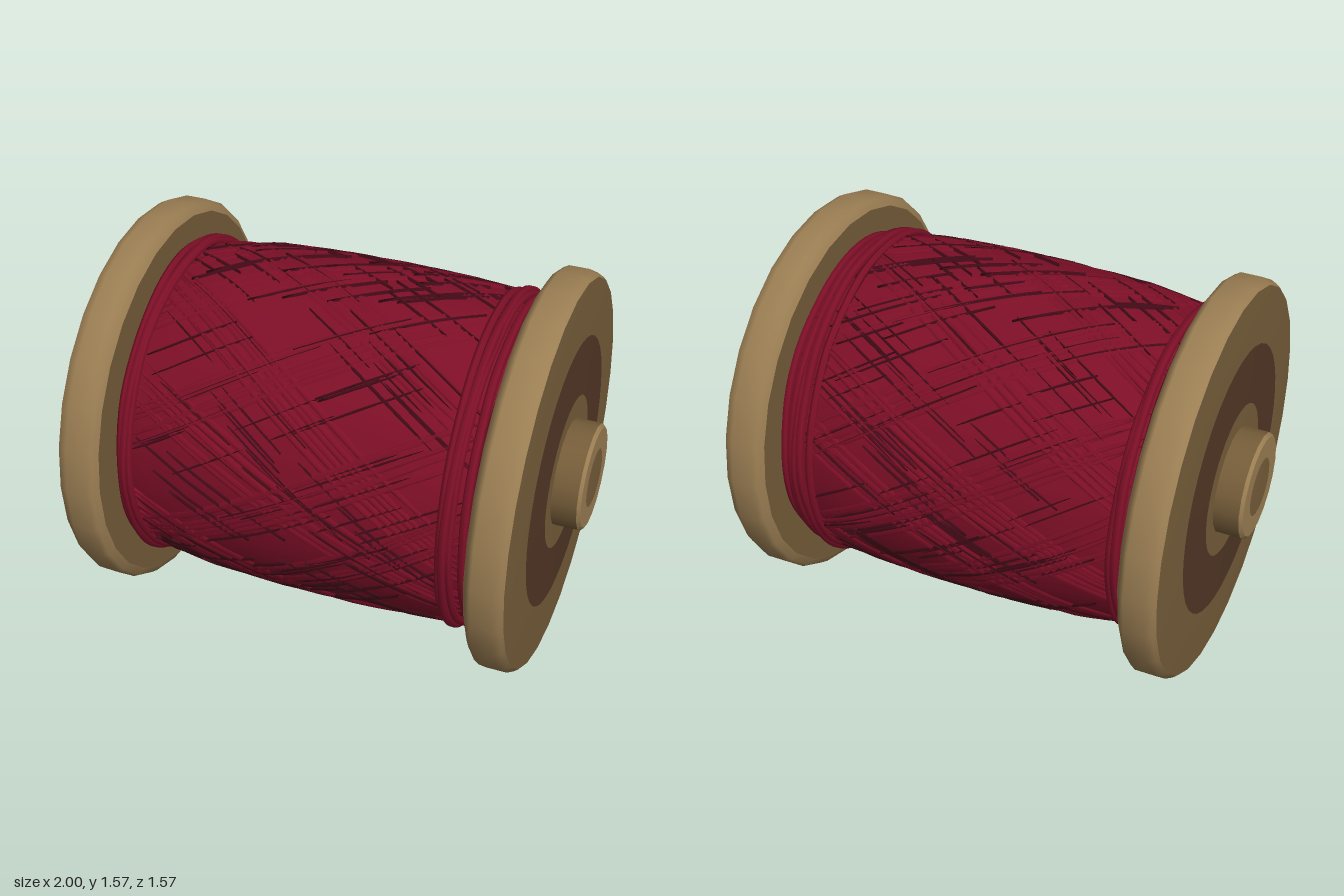
import * as THREE from 'three';
import { mergeGeometries } from 'three/addons/utils/BufferGeometryUtils.js';

const mat = (name, color) => {
  const m = new THREE.MeshStandardMaterial({ color });
  m.name = name;
  return m;
};

export function createModel() {
  const paleWood = mat('pale wood', 0x9b7e53);
  const wood = mat('wood', 0x775e3a);
  const darkWood = mat('dark wood', 0x523726);
  const red = mat('red thread', 0x7e0f27);
  const darkRed = mat('shaded thread', 0x430a17);

  const model = new THREE.Group();
  const add = (parent, name, geometry, material) => {
    const mesh = new THREE.Mesh(geometry, material);
    mesh.name = name;
    parent.add(mesh);
    return mesh;
  };

  let seed = 7;
  const rand = () => {
    seed = (seed * 16807) % 2147483647;
    return seed / 2147483647;
  };
  const spread = (s) => (rand() - 0.5) * s;

  // Revolves [distance along x, radius] points around the x axis, from low x to high x
  const turn = (points, sides) =>
    new THREE.LatheGeometry(points.map(([x, r]) => new THREE.Vector2(r, x)), sides).rotateZ(-Math.PI / 2);

  // End discs, hubs and painted rings, one set for each end
  for (const side of [1, -1]) {
    const end = new THREE.Group();
    end.name = side > 0 ? 'leftEnd' : 'rightEnd';
    end.rotation.y = side > 0 ? 0 : Math.PI;
    model.add(end);

    const disc = new THREE.Group();
    disc.name = 'disc';
    disc.position.y = 0.787;
    end.add(disc);
    add(disc, 'discInnerFace', turn([[0.713, 0], [0.718, 0.745]], 28), wood);
    add(disc, 'discRim', turn([[0.718, 0.745], [0.735, 0.775], [0.755, 0.787], [0.835, 0.787], [0.86, 0.775], [0.874, 0.765]], 28), paleWood);
    add(disc, 'discOuterFace', turn([[0.874, 0.765], [0.884, 0.55], [0.888, 0]], 28), wood);

    const hub = new THREE.Group();
    hub.name = 'hub';
    hub.position.y = 0.803;
    end.add(hub);
    add(hub, 'darkRing', turn([[0.886, 0.53], [0.891, 0.3]], 40), darkWood);
    add(hub, 'hubSide', turn([[0.86, 0.21], [0.985, 0.21]], 18), wood);
    add(hub, 'hubEdge', turn([[0.985, 0.21], [0.998, 0.197]], 18), paleWood);
    add(hub, 'hubEnd', turn([[0.998, 0.197], [0.998, 0]], 18), paleWood);
    add(hub, 'hubSpot', turn([[0.998, 0.115], [1.0, 0.11], [1.0, 0]], 18), wood);
  }

  // Wound thread body
  const thread = new THREE.Group();
  thread.name = 'thread';
  thread.position.y = 0.795;
  model.add(thread);
  const profile = [[-0.72, 0.6], [-0.6, 0.625], [-0.4, 0.652], [-0.1, 0.665], [0.2, 0.665], [0.4, 0.658], [0.58, 0.645], [0.72, 0.61]];
  add(thread, 'threadBody', turn(profile, 48), red);
  const radiusAt = (x) => {
    let i = 0;
    while (i < profile.length - 2 && x > profile[i + 1][0]) i++;
    const [[x0, r0], [x1, r1]] = [profile[i], profile[i + 1]];
    return r0 + ((r1 - r0) * (x - x0)) / (x1 - x0);
  };

  // A thin raised strand that crosses the body from x0 to x1 while turning from a0 to a1
  const strand = (x0, x1, a0, a1, width, lift, steps) => {
    const positions = [];
    const index = [];
    for (let i = 0; i <= steps; i++) {
      const t = i / steps;
      const x = x0 + (x1 - x0) * t;
      const a = a0 + (a1 - a0) * t;
      const half = (width / 2 / 0.66) * (0.1 + 0.9 * Math.pow(Math.sin(Math.PI * t), 0.4) || 0.1);
      for (let j = -1; j <= 1; j++) {
        const r = radiusAt(x) + (j ? -0.002 : lift);
        const b = a + j * half;
        positions.push(x, Math.cos(b) * r, Math.sin(b) * r);
        if (i < steps && j < 1) {
          const k = i * 3 + j + 1;
          index.push(k, k + 1, k + 3, k + 1, k + 4, k + 3);
        }
      }
    }
    const g = new THREE.BufferGeometry();
    g.setAttribute('position', new THREE.Float32BufferAttribute(positions, 3));
    g.setIndex(index);
    g.computeVertexNormals();
    return g;
  };

  // Criss-cross bands, each of several strands with dark gaps beside them
  const strands = [];
  const gaps = [];
  const bandCount = 9;
  for (const dir of [1, -1]) {
    for (let b = 0; b < bandCount; b++) {
      const start = ((b + 0.3 * dir) / bandCount) * Math.PI * 2 + spread(0.25);
      const sweep = dir * (1.25 + spread(0.4));
      for (let s = 0; s < 6; s++) {
        const a = start + s * 0.048;
        strands.push(strand(-0.7 + rand() * 0.06, 0.7 - rand() * 0.06, a, a + sweep + spread(0.08), 0.036, 0.007 + rand() * 0.006, 20));
      }
      for (let s = 0; s < 15; s++) {
        const t0 = rand() * 0.75;
        const t1 = Math.min(1, t0 + 0.12 + rand() * 0.25);
        const a = start + rand() * 0.6;
        gaps.push(strand(-0.68 + 1.36 * t0, -0.68 + 1.36 * t1, a + sweep * t0, a + sweep * t1, 0.007 + rand() * 0.006, 0.012, 8));
      }
    }
  }
  add(thread, 'crossedStrands', mergeGeometries(strands), red);
  add(thread, 'strandGaps', mergeGeometries(gaps), darkRed);

  // Loose loops of thread wound around both ends
  const loops = [[-0.695, 0.63, 0.016], [-0.668, 0.635, 0.018], [-0.645, 0.63, 0.015], [0.585, 0.65, 0.016], [0.61, 0.655, 0.019], [0.637, 0.645, 0.016], [0.67, 0.635, 0.018], [0.698, 0.625, 0.016]];
  loops.forEach(([x, r, thick], i) => {
    const points = [];
    for (let k = 0; k < 24; k++) {
      const a = (k / 24) * Math.PI * 2;
      const rr = r + spread(0.012);
      points.push(new THREE.Vector3(x + 0.009 * Math.sin(a + i * 2), Math.cos(a) * rr, Math.sin(a) * rr));
    }
    add(thread, 'endLoop', new THREE.TubeGeometry(new THREE.CatmullRomCurve3(points, true), 72, thick, 6, true), red);
  });

  return model;
}
